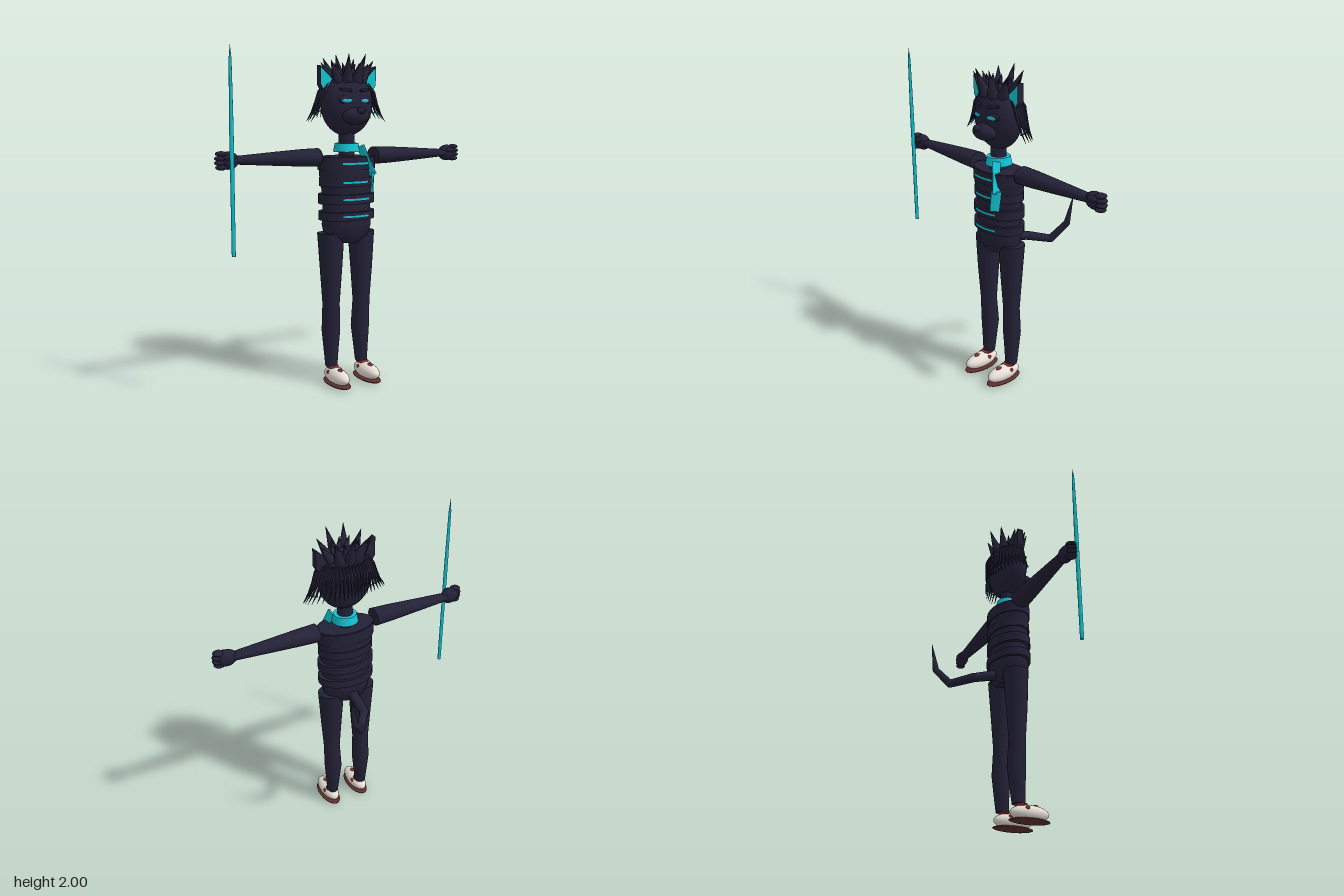
import * as THREE from 'three';
import { toCreasedNormals } from 'three/addons/utils/BufferGeometryUtils.js';

const mat = (name, color) => Object.assign(new THREE.MeshStandardMaterial({ color, side: THREE.DoubleSide }), { name });

export function createModel() {
  const root = new THREE.Group();
  root.name = 'character';
  const dark = mat('midnight', 0x232136);
  const cyan = mat('cyan', 0x12c4d2);
  const white = mat('shoeWhite', 0xe6deD6);
  const sole = mat('soleBrown', 0x5c302c);
  const red = mat('shoeRed', 0x8e2e2c);

  const add = (name, geo, m, parent = root) => {
    const mesh = new THREE.Mesh(geo, m);
    mesh.name = name;
    parent.add(mesh);
    return mesh;
  };
  const ball = (name, m, p, s, parent, w = 24, h = 16) => {
    const b = add(name, new THREE.SphereGeometry(1, w, h), m, parent);
    b.position.set(...p);
    b.scale.set(...s);
    return b;
  };
  // Tapered rod between two points
  const rod = (name, m, a, b, ra, rb, parent, n = 10) => {
    const A = new THREE.Vector3(...a), B = new THREE.Vector3(...b);
    const dir = B.clone().sub(A);
    const mesh = add(name, new THREE.CylinderGeometry(rb, ra, dir.length(), n), m, parent);
    mesh.position.copy(A).add(B).multiplyScalar(0.5);
    mesh.quaternion.setFromUnitVectors(new THREE.Vector3(0, 1, 0), dir.normalize());
    return mesh;
  };
  // Elliptical rings [y, cx, cz, rx, rz] joined from bottom to top, with closed ends
  const loft = (rings, n = 24) => {
    const first = rings[0], last = rings[rings.length - 1];
    const all = [[...first.slice(0, 3), 0, 0], ...rings, [...last.slice(0, 3), 0, 0]];
    const pos = [], idx = [];
    for (const [y, cx, cz, rx, rz] of all)
      for (let i = 0; i < n; i++) {
        const t = (i / n) * Math.PI * 2;
        pos.push(cx + rx * Math.cos(t), y, cz + rz * Math.sin(t));
      }
    for (let j = 0; j < all.length - 1; j++)
      for (let i = 0; i < n; i++) {
        const a = j * n + i, b = j * n + (i + 1) % n;
        idx.push(a, a + n, b, b, a + n, b + n);
      }
    const g = new THREE.BufferGeometry();
    g.setAttribute('position', new THREE.Float32BufferAttribute(pos, 3));
    g.setIndex(idx);
    return toCreasedNormals(g, 0.7);
  };

  // Torso core, hips and armour bands
  const Z = 0.118;
  add('torso', loft([
    [0.87, 0, Z, 0.08, 0.07], [0.91, 0, Z, 0.145, 0.1], [0.98, 0, Z, 0.16, 0.112],
    [1.08, 0, Z, 0.155, 0.108], [1.18, 0, Z, 0.16, 0.11], [1.28, 0, Z, 0.178, 0.115], [1.385, 0, Z, 0.182, 0.115]]), dark);
  [[1.345, 0.075, 0.186, 0.121], [1.235, 0.05, 0.176, 0.12], [1.135, 0.058, 0.181, 0.124], [1.035, 0.05, 0.181, 0.124]].forEach(([y, h, rx, rz]) => {
    const band = add('torsoBand', new THREE.CylinderGeometry(1, 1, h, 32), dark);
    band.position.set(0, y, Z);
    band.scale.set(rx, 1, rz);
    const line = add('glowLine', new THREE.CylinderGeometry(1, 1, 0.011, 12, 1, true, -0.5, 1), cyan);
    line.position.set(0, y, Z);
    line.scale.set(rx + 0.002, 1, rz + 0.002);
  });

  // Neck, scarf collar and hanging scarf end
  rod('neck', dark, [0, 1.37, Z], [0, 1.56, Z], 0.048, 0.046, root, 20);
  rod('scarfCollar', cyan, [0, 1.41, Z], [0, 1.46, Z], 0.08, 0.07, root, 24);
  [[[0.055, 1.445, 0.185], [0.112, 1.275, 0.236]], [[0.112, 1.29, 0.236], [0.1, 1.17, 0.242]]].forEach(([a, b]) => {
    const s = rod('scarfEnd', cyan, a, b, 0.032, 0.03, root, 4);
    s.geometry.rotateY(Math.PI / 4);
    s.geometry.scale(1.3, 1, 0.3);
  });

  // Head and face
  const head = new THREE.Group();
  head.name = 'head';
  root.add(head);
  ball('skull', dark, [0, 1.69, Z], [0.166, 0.187, 0.112], head, 32, 24);
  ball('muzzle', dark, [0, 1.62, 0.222], [0.085, 0.05, 0.058], head);
  ball('nose', dark, [0, 1.65, 0.277], [0.024, 0.02, 0.024], head);
  for (const s of [-1, 1]) {
    ball('eyelid', dark, [s * 0.06, 1.712, 0.208], [0.046, 0.027, 0.016], head);
    const eye = ball('eye', cyan, [s * 0.06, 1.708, 0.225], [0.032, 0.011, 0.004], head, 16, 8);
    eye.rotation.y = s * 0.2;
    rod('brow', dark, [s * 0.03, 1.765, 0.224], [s * 0.1, 1.775, 0.204], 0.009, 0.006, head);

    // Pointed ear with coloured inside
    const shape = k => {
      const p = [[0.19, 1.91], [0.105, 1.835], [0.16, 1.75], [0.19, 1.8]].map(([x, y]) =>
        new THREE.Vector2(s * (0.165 + (x - 0.165) * k), 1.82 + (y - 1.82) * k));
      return new THREE.Shape(s > 0 ? p : p.reverse());
    };
    add('ear', new THREE.ExtrudeGeometry(shape(1), { depth: 0.04, bevelEnabled: false }), dark, head).position.z = 0.1;
    add('earInside', new THREE.ShapeGeometry(shape(0.86)), cyan, head).position.z = 0.143;
  }

  // Crown of hair spikes
  for (let i = 0; i < 9; i++) {
    const t = (i / 9) * Math.PI * 2 - Math.PI / 2, c = Math.cos(t), s = Math.sin(t);
    rod('hairSpike', dark, [0.09 * c, 1.82, Z + 0.065 * s], [0.165 * c, 1.98 - 0.055 * c * c, Z + 0.125 * s], 0.036, 0.001, head, 8);
    rod('shortSpike', dark, [0.055 * c, 1.83, Z + 0.035 * s], [0.09 * Math.cos(t + 0.35), 1.925, Z + 0.06 * Math.sin(t + 0.35)], 0.03, 0.001, head, 8);
  }

  // Curved strands round the back and sides
  const strands = 27;
  for (let i = 0; i < strands; i++) {
    const t = Math.PI * (-0.06 + 1.12 * i / (strands - 1)), c = Math.cos(t), s = Math.sin(t);
    const flare = c * c * c;
    const rings = [[1.59, 0.265, 0.001], [1.64, 0.228, 0.006], [1.7, 0.198, 0.01], [1.76, 0.176, 0.012], [1.81, 0.14, 0.008]]
      .map(([y, x, r], k) => [y + 0.025 * s * (k < 3 ? 1 : 0),
        c * 0.15 + flare * (x - 0.15), Z - s * (k === 4 ? 0.1 : 0.128), r, r]);
    add('hairStrand', loft(rings, 6), dark, head);
    ball('strandGlow', cyan, [rings[1][1] * 0.97, rings[1][0] - 0.008, Z - s * 0.12], [0.006, 0.006, 0.006], head, 6, 4);
  }

  for (const s of [-1, 1]) {
    const side = s > 0 ? 'left' : 'right';

    // Arm, tapered towards the wrist
    const arm = add(side + 'Arm', loft([
      [0.193, 0, 0, 0.053, 0.064], [0.3, 0, 0, 0.05, 0.058], [0.45, 0, 0, 0.041, 0.049], [0.72, 0, 0, 0.023, 0.034]]), dark);
    arm.position.set(0, 1.382, 0.112);
    arm.rotation.z = -s * Math.PI / 2;

    // Fist
    const hand = new THREE.Group();
    hand.name = side + 'Hand';
    root.add(hand);
    ball('palm', dark, [s * 0.755, 1.382, 0.115], [0.062, 0.05, 0.04], hand);
    for (let i = 0; i < 4; i++)
      ball('finger', dark, [s * (0.808 - 0.006 * Math.abs(i - 1.5)), 1.42 - i * 0.025, 0.122], [0.033, 0.015, 0.032], hand, 12, 8);
    ball('thumb', dark, [s * 0.76, 1.4, 0.148], [0.035, 0.017, 0.015], hand, 12, 8);

    // Leg with knee and calf
    add(side + 'Leg', loft([
      [0.11, s * 0.107, 0.12, 0.036, 0.04], [0.2, s * 0.106, 0.115, 0.044, 0.046], [0.33, s * 0.104, 0.11, 0.057, 0.055],
      [0.5, s * 0.107, 0.117, 0.053, 0.05], [0.7, s * 0.107, 0.117, 0.067, 0.064], [0.93, s * 0.106, 0.113, 0.083, 0.077]]), dark);

    // Shoe
    const shoe = new THREE.Group();
    shoe.name = side + 'Shoe';
    root.add(shoe);
    ball('upper', white, [s * 0.107, 0.063, 0.187], [0.053, 0.048, 0.123], shoe);
    ball('sole', sole, [s * 0.107, 0.02, 0.187], [0.06, 0.016, 0.13], shoe);
    ball('toeSpot', red, [s * 0.107, 0.107, 0.225], [0.014, 0.01, 0.02], shoe, 12, 8);
    for (const k of [-1, 1]) ball('sideSpot', red, [s * 0.107 + k * 0.043, 0.085, 0.155], [0.01, 0.012, 0.013], shoe, 12, 8);
    ball('ankleTrim', red, [s * 0.107, 0.108, 0.135], [0.038, 0.012, 0.04], shoe, 16, 8);
  }

  // Kinked tail
  const tail = [[0, 0.93, 0.03], [0, 0.885, -0.12], [0.09, 0.86, -0.235], [0.165, 0.97, -0.3], [0.197, 1.16, -0.32]];
  const tr = [0.032, 0.028, 0.024, 0.02, 0.001];
  for (let i = 0; i < 4; i++) {
    rod('tail', dark, tail[i], tail[i + 1], tr[i], tr[i + 1], root, 12);
    ball('tailJoint', dark, tail[i], [tr[i], tr[i], tr[i]], root, 12, 8);
  }

  // Staff held at the right hand
  const sx = -0.762, sz = 0.185;
  rod('staff', cyan, [sx, 0.86, sz], [sx, 1.55, sz], 0.011, 0.012);
  rod('staffUpper', cyan, [sx, 1.55, sz], [sx, 1.92, sz], 0.012, 0.008);
  rod('staffTip', cyan, [sx, 1.92, sz], [sx, 2, sz], 0.008, 0.0005);

  return root;
}
